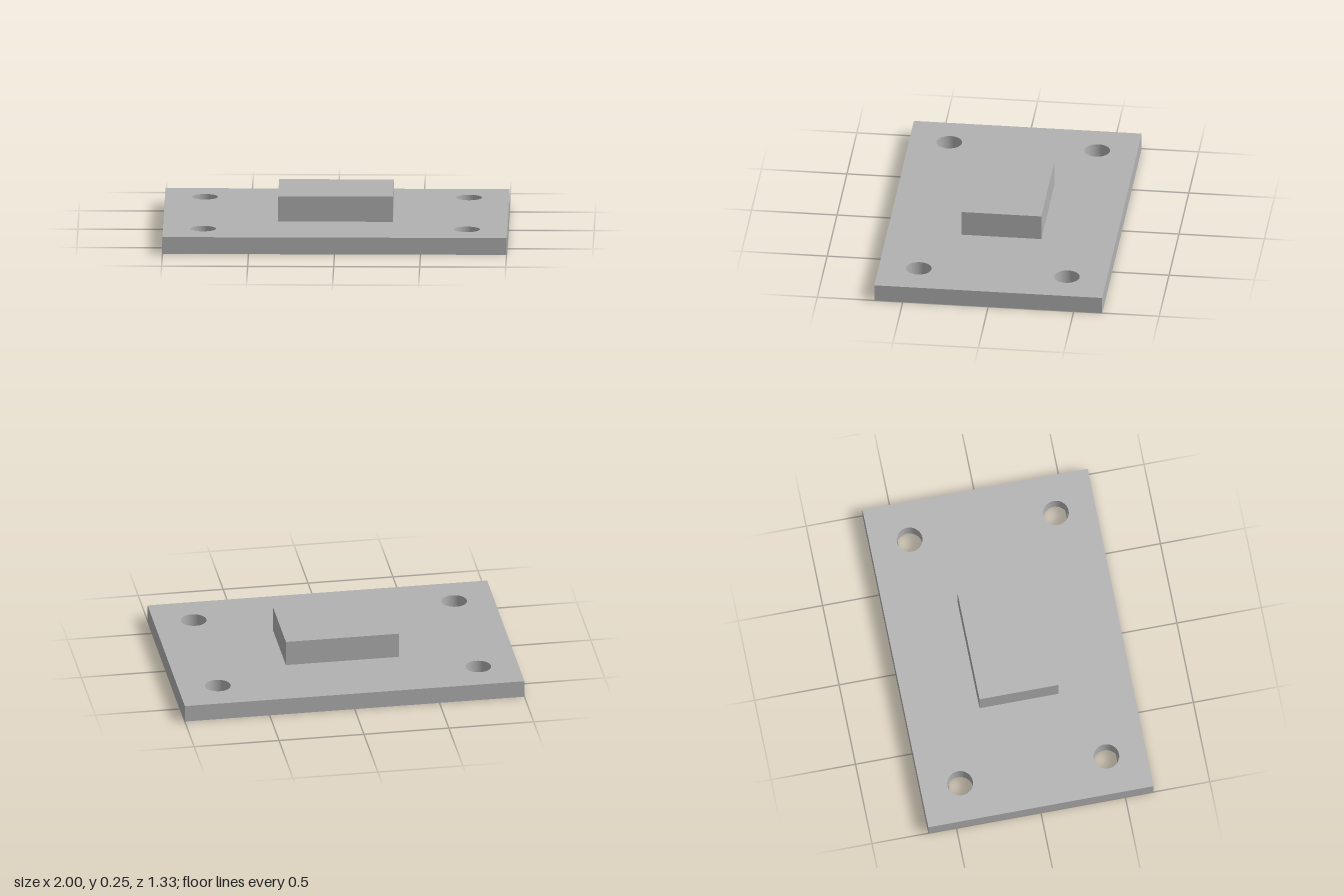
import * as THREE from 'three';
import { toCreasedNormals } from 'three/addons/utils/BufferGeometryUtils.js';

const WIDTH = 2, DEPTH = 1.333, THICKNESS = 0.1;
const HOLE_X = 0.767, HOLE_Z = 0.433, HOLE_RADIUS = 0.075;
const BLOCK_WIDTH = 0.667, BLOCK_HEIGHT = 0.15, BLOCK_DEPTH = 0.467;

export function createModel() {
  const model = new THREE.Group();
  model.name = 'mountingPlate';
  const grey = new THREE.MeshStandardMaterial({ color: 0xb2b2b2 });
  grey.name = 'grey metal';

  // Base plate with a round through-hole near each corner
  const outline = new THREE.Shape([
    new THREE.Vector2(-WIDTH / 2, -DEPTH / 2),
    new THREE.Vector2(WIDTH / 2, -DEPTH / 2),
    new THREE.Vector2(WIDTH / 2, DEPTH / 2),
    new THREE.Vector2(-WIDTH / 2, DEPTH / 2),
  ]);
  for (const sx of [-1, 1]) {
    for (const sz of [-1, 1]) {
      const hole = new THREE.Path();
      hole.absarc(sx * HOLE_X, sz * HOLE_Z, HOLE_RADIUS, 0, Math.PI * 2, true);
      outline.holes.push(hole);
    }
  }
  const plateGeometry = new THREE.ExtrudeGeometry(outline, {
    depth: THICKNESS, bevelEnabled: false, curveSegments: 48,
  });
  plateGeometry.rotateX(-Math.PI / 2);
  plateGeometry.clearGroups();
  const plate = new THREE.Mesh(toCreasedNormals(plateGeometry, Math.PI / 6), grey);
  plate.name = 'basePlate';
  model.add(plate);

  // Raised block in the middle
  const block = new THREE.Mesh(new THREE.BoxGeometry(BLOCK_WIDTH, BLOCK_HEIGHT, BLOCK_DEPTH), grey);
  block.name = 'raisedBlock';
  block.position.y = THICKNESS + BLOCK_HEIGHT / 2;
  model.add(block);

  return model;
}
